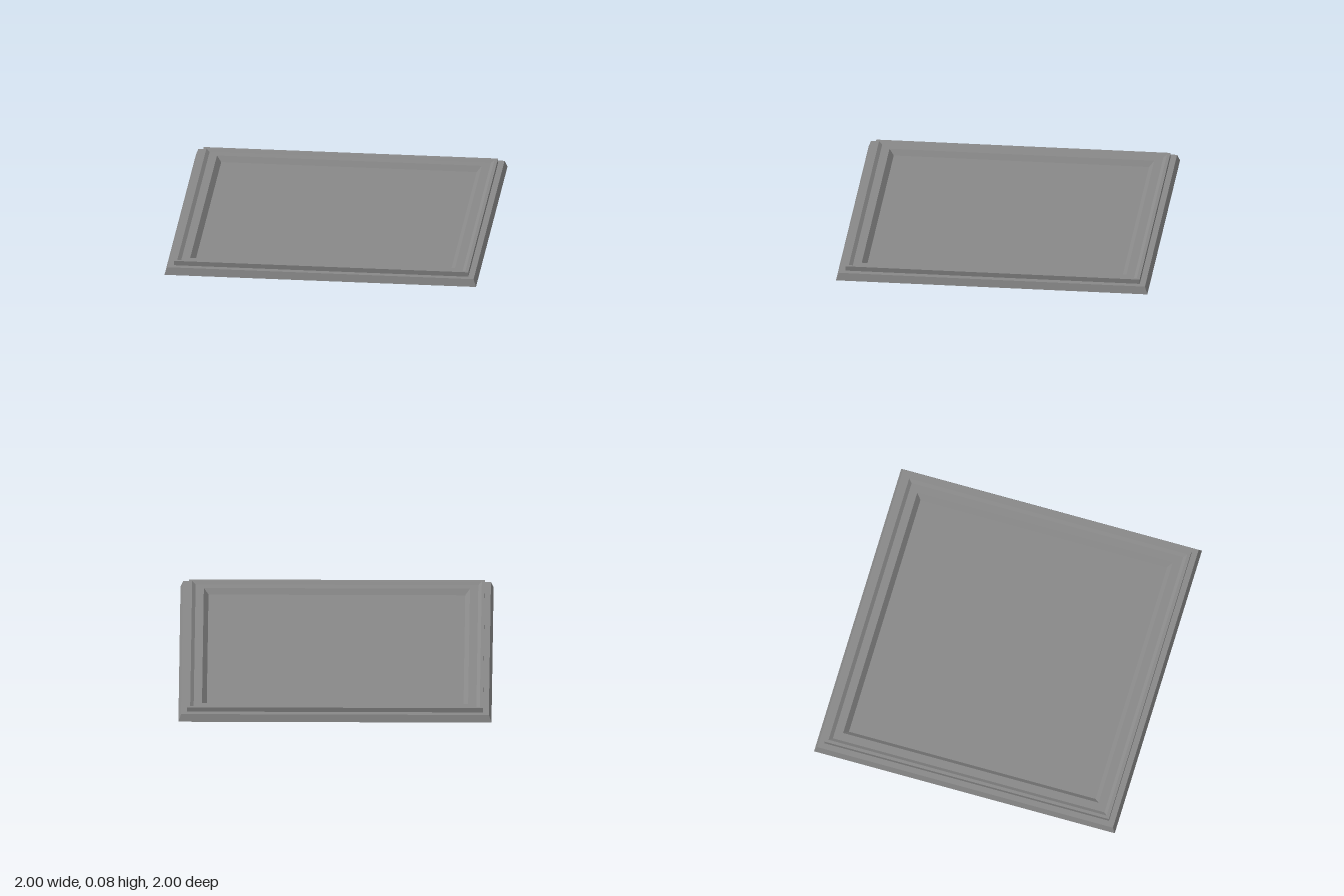
import * as THREE from 'three';

// Sweeps a profile of [half width, height] points around a square
function squareRing(name, profile, material) {
  const points = profile.map(([half, y]) => new THREE.Vector2(half * Math.SQRT2, y));
  const geometry = new THREE.LatheGeometry(points, 4, Math.PI / 4).toNonIndexed();
  geometry.computeVertexNormals(); // flat faces, sharp mitred corners
  const mesh = new THREE.Mesh(geometry, material);
  mesh.name = name;
  return mesh;
}

export function createModel() {
  const group = new THREE.Group();
  group.name = 'framedPanel';
  const grey = new THREE.MeshStandardMaterial({ color: 0x888888, side: THREE.DoubleSide });
  grey.name = 'grey';

  // Sloping skirt and the flat ledge above it, open underneath
  group.add(squareRing('skirt', [[1, 0.004], [0.983, 0.05], [0.945, 0.05]], grey));

  // Raised moulding: outer wall, rim, shallow bevel, flat, inner bevel
  group.add(squareRing('moulding', [
    [0.945, 0.05], [0.945, 0.08], [0.925, 0.08],
    [0.903, 0.065], [0.85, 0.065], [0.82, 0.033],
  ], grey));

  // Wall closing the space between the panel and the moulding
  group.add(squareRing('collar', [[0.912, 0.033], [0.912, 0.07]], grey));

  // Recessed panel, reaching down to the ground
  const panel = new THREE.Mesh(new THREE.BoxGeometry(1.824, 0.033, 1.824), grey);
  panel.name = 'panel';
  panel.position.y = 0.0165;
  group.add(panel);

  return group;
}
